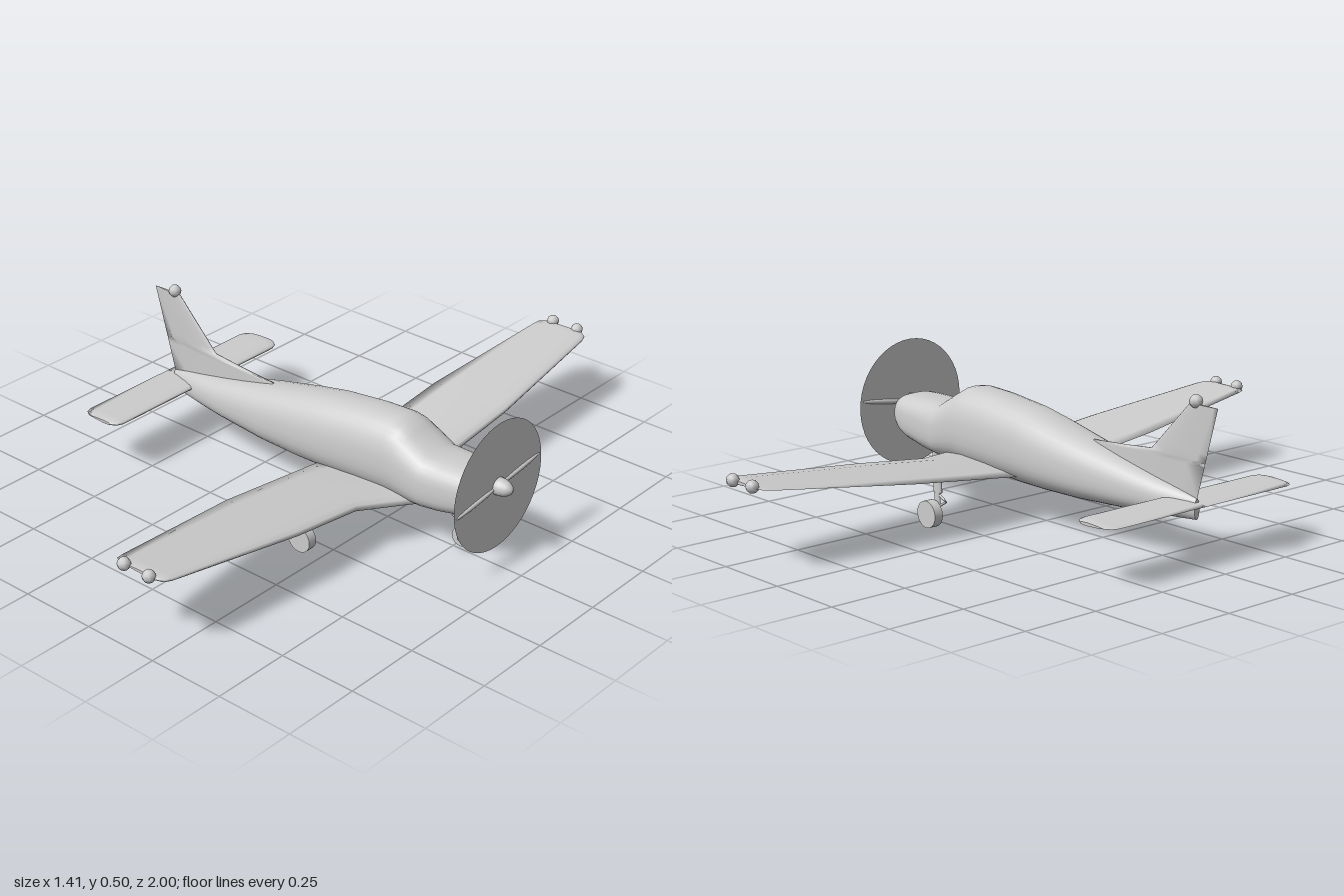
import * as THREE from 'three';

const grey = new THREE.MeshStandardMaterial({ color: 0xcccccc });
grey.name = 'lightGrey';
grey.side = THREE.DoubleSide;

// Skin a list of closed rings (arrays of [x, y, z]) and cap both ends.
function loft(rings) {
  const n = rings[0].length, pos = rings.flat(2), idx = [];
  for (let i = 0; i < rings.length - 1; i++) {
    for (let j = 0; j < n; j++) {
      const k = (j + 1) % n, a = i * n, b = a + n;
      idx.push(a + j, b + j, b + k, a + j, b + k, a + k);
    }
  }
  [rings[0], rings[rings.length - 1]].forEach((ring, end) => {
    const base = pos.length / 3;
    const centre = [0, 1, 2].map(c => ring.reduce((s, p) => s + p[c], 0) / n);
    pos.push(...ring.flat(), ...centre);
    for (let j = 0; j < n; j++) {
      const k = (j + 1) % n;
      idx.push(base + n, base + (end ? k : j), base + (end ? j : k));
    }
  });
  const g = new THREE.BufferGeometry();
  g.setAttribute('position', new THREE.Float32BufferAttribute(pos, 3));
  g.setIndex(idx);
  g.computeVertexNormals();
  return g;
}

// Aerofoil outline: nose, underside, tail, upper side. place(x, s) gives a point.
const HALF = [[0.015, 0.4], [0.08, 0.75], [0.28, 1], [0.6, 0.72], [0.85, 0.32]];
function aerofoil(le, te, thick, place) {
  const at = (f, s) => place(le + (te - le) * f, s * thick / 2);
  return [at(0, 0), ...HALF.map(([f, s]) => at(f, -s)), at(1, 0),
    ...HALF.slice().reverse().map(([f, s]) => at(f, s))];
}

export function createModel() {
  const model = new THREE.Group();
  model.name = 'lightAircraft';
  const add = (name, geo, x = 0, y = 0, z = 0, parent = model) => {
    const m = new THREE.Mesh(geo, grey);
    m.name = name;
    m.position.set(x, y, z);
    parent.add(m);
    return m;
  };

  // Fuselage stations: x, bottom, top, half width, squareness
  const stations = [
    [-0.635, 0.135, 0.197, 0.010, 2], [-0.58, 0.131, 0.211, 0.029, 2.1],
    [-0.5, 0.126, 0.228, 0.048, 2.2], [-0.4, 0.120, 0.250, 0.066, 2.3],
    [-0.2, 0.112, 0.296, 0.093, 2.4], [-0.05, 0.110, 0.330, 0.103, 2.4],
    [0.05, 0.112, 0.350, 0.106, 2.4], [0.2, 0.118, 0.368, 0.106, 2.4],
    [0.3, 0.122, 0.373, 0.106, 2.4], [0.335, 0.124, 0.367, 0.106, 2.4],
    [0.37, 0.126, 0.346, 0.106, 2.5], [0.435, 0.130, 0.305, 0.104, 2.7],
    [0.5, 0.139, 0.304, 0.100, 2.8], [0.58, 0.156, 0.304, 0.094, 2.8],
    [0.615, 0.172, 0.302, 0.090, 2.8], [0.634, 0.190, 0.297, 0.084, 2.8],
    [0.641, 0.208, 0.288, 0.074, 2.6],
  ];
  const power = (v, p) => Math.sign(v) * Math.abs(v) ** (2 / p);
  add('fuselage', loft(stations.map(([x, bottom, top, w, p]) => {
    const waist = bottom + (top - bottom) * 0.45;
    return Array.from({ length: 32 }, (_, i) => {
      const a = i / 32 * Math.PI * 2, s = power(Math.sin(a), p);
      return [x, waist + s * (s > 0 ? top - waist : waist - bottom), w * power(Math.cos(a), p)];
    });
  })));

  // Mirror stations (z, leading edge, trailing edge, thickness) about the centre line
  const span = (half, height) => loft(
    [...half.map(([z, ...r]) => [-z, ...r]).reverse(), ...half]
      .map(([z, le, te, t]) => aerofoil(le, te, t, (x, s) => [x, height(z) + s, z])));
  add('wing', span([
    [0.06, 0.41, 0.04, 0.046], [0.11, 0.385, 0.04, 0.046], [0.235, 0.325, 0.04, 0.044],
    [0.48, 0.323, 0.04, 0.038], [0.94, 0.281, 0.087, 0.022], [0.963, 0.273, 0.092, 0.019],
    [0.975, 0.255, 0.108, 0.010],
  ], z => 0.135 + Math.abs(z) * 0.118));
  add('tailplane', span([
    [0.005, -0.525, -0.672, 0.02], [0.34, -0.525, -0.672, 0.02],
    [0.36, -0.533, -0.664, 0.017], [0.373, -0.552, -0.645, 0.010],
  ], () => 0.181));

  // Fin with its long dorsal fillet: y, leading edge, trailing edge, thickness
  add('fin', loft([
    [0.16, -0.2, -0.63, 0.024], [0.195, -0.2, -0.635, 0.024], [0.293, -0.2, -0.662, 0.02],
    [0.302, -0.34, -0.664, 0.019], [0.312, -0.45, -0.667, 0.018], [0.33, -0.468, -0.672, 0.017],
    [0.47, -0.602, -0.71, 0.009],
  ].map(([y, le, te, t]) => aerofoil(le, te, t, (x, s) => [x, y, -s]))));

  // Navigation lights
  const lamp = new THREE.SphereGeometry(0.02, 8, 6);
  add('finLight', lamp, -0.625, 0.478, 0);
  for (const z of [-0.98, 0.98]) for (const x of [0.135, 0.23]) add('wingTipLight', lamp, x, 0.255, z);

  // Propeller: swept disc, two blades and spinner
  const propeller = new THREE.Group();
  propeller.name = 'propeller';
  propeller.position.set(0.655, 0.265, 0);
  model.add(propeller);
  add('propellerDisc', new THREE.CircleGeometry(0.205, 48).rotateY(Math.PI / 2), 0, 0, 0, propeller);
  for (const side of [-1, 1]) {
    const blade = add('blade', new THREE.SphereGeometry(1, 10, 12).scale(0.007, 0.008, 0.1),
      0, -side * 0.013, side * 0.1, propeller);
    blade.rotation.set(0.13, 0, 0);
  }
  const spinner = [[0, 0.05], [0.012, 0.046], [0.021, 0.034], [0.027, 0.014], [0.028, -0.016], [0, -0.016]]
    .reverse().map(p => new THREE.Vector2(...p));
  add('spinner', new THREE.LatheGeometry(spinner, 20).rotateZ(-Math.PI / 2), 0, 0, 0, propeller);

  // Landing gear
  const wheel = (r, w) => new THREE.CylinderGeometry(r, r, w, 24).rotateX(Math.PI / 2);
  const linkShape = new THREE.CatmullRomCurve3([
    new THREE.Vector3(0.022, 0.02, 0), new THREE.Vector3(-0.018, 0, 0), new THREE.Vector3(0.022, -0.024, 0),
  ], false, 'catmullrom', 0);
  const link = new THREE.TubeGeometry(linkShape, 8, 0.004, 6);
  for (const side of [-1, 1]) {
    const gear = new THREE.Group();
    gear.name = 'mainGear';
    gear.position.set(0.18, 0, side * 0.28);
    model.add(gear);
    add('legHousing', new THREE.CylinderGeometry(0.018, 0.018, 0.06, 12).scale(1, 1, 0.45), -0.002, 0.135, 0, gear);
    add('leg', new THREE.CylinderGeometry(0.012, 0.012, 0.08, 12).scale(1, 1, 0.5), 0, 0.075, 0, gear);
    add('torqueLink', link, -0.022, 0.082, 0, gear);
    add('axle', new THREE.CylinderGeometry(0.008, 0.008, 0.04, 10).rotateX(Math.PI / 2), 0, 0.043, side * 0.016, gear);
    add('wheel', wheel(0.042, 0.03), 0, 0.043, side * 0.03, gear);
  }
  const nose = new THREE.Group();
  nose.name = 'noseGear';
  nose.position.set(0.53, 0, 0);
  model.add(nose);
  add('leg', new THREE.CylinderGeometry(0.011, 0.011, 0.07, 12), 0, 0.125, 0, nose);
  for (const z of [-0.011, 0.011]) add('fork', new THREE.BoxGeometry(0.012, 0.06, 0.004), 0, 0.066, z, nose);
  add('forkCrown', new THREE.BoxGeometry(0.014, 0.008, 0.026), 0, 0.094, 0, nose);
  add('torqueLink', link, -0.018, 0.108, 0, nose);
  add('wheel', wheel(0.03, 0.016), 0, 0.045, 0, nose);
  return model;
}
